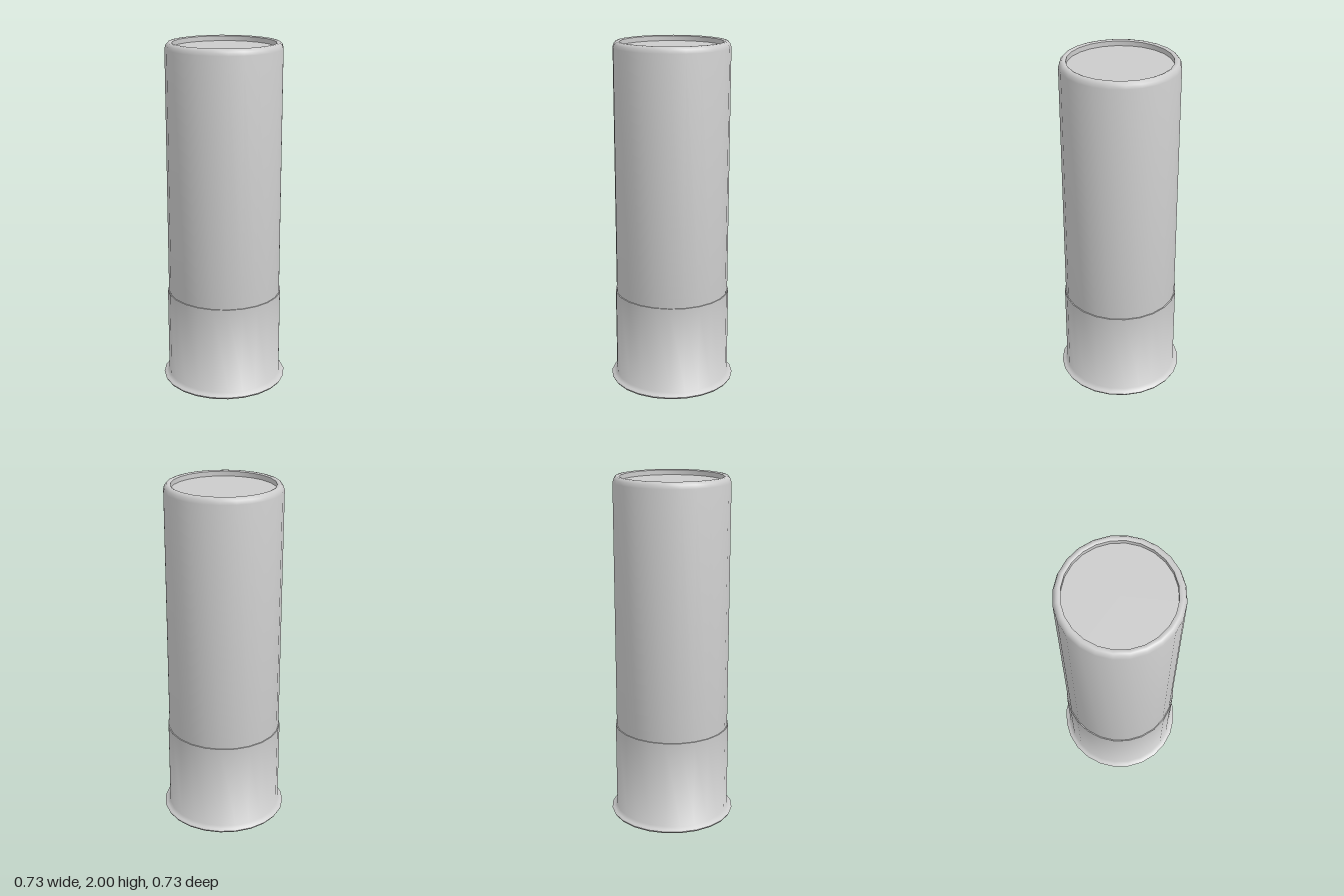
import * as THREE from 'three';
import { toCreasedNormals } from 'three/addons/utils/BufferGeometryUtils.js';

const SIDES = 24;
const material = new THREE.MeshStandardMaterial({ color: 0xcccccc });

// Turned part from [radius, height] pairs, running bottom to top on the outside
function turned(name, profile, crease) {
  const points = profile.map(([r, y]) => new THREE.Vector2(r, y));
  const mesh = new THREE.Mesh(toCreasedNormals(new THREE.LatheGeometry(points, SIDES), crease), material);
  mesh.name = name;
  return mesh;
}

// Flat round cap facing up or down
function cap(name, radius, y, up) {
  const geometry = new THREE.CircleGeometry(radius, SIDES).rotateX(up ? -Math.PI / 2 : Math.PI / 2);
  const mesh = new THREE.Mesh(geometry, material);
  mesh.position.y = y;
  mesh.name = name;
  return mesh;
}

export function createModel() {
  const group = new THREE.Group();
  group.name = 'cartridge';

  // Metal head with flared rim and a small step at its top
  group.add(turned('metalHead', [
    [0.345, 0], [0.358, 0.006], [0.363, 0.016], [0.35, 0.025], [0.333, 0.036],
    [0.333, 0.55], [0.325, 0.55],
  ], 1.2));
  group.add(cap('base', 0.345, 0, false));

  // Long tube with a rounded lip that turns down into the recess
  group.add(turned('tube', [
    [0.327, 0.55], [0.327, 1.965], [0.321, 1.985], [0.31, 1.998], [0.298, 2],
    [0.287, 1.995], [0.287, 1.968],
  ], 1.0));
  group.add(cap('recessedEnd', 0.287, 1.968, true));

  return group;
}
